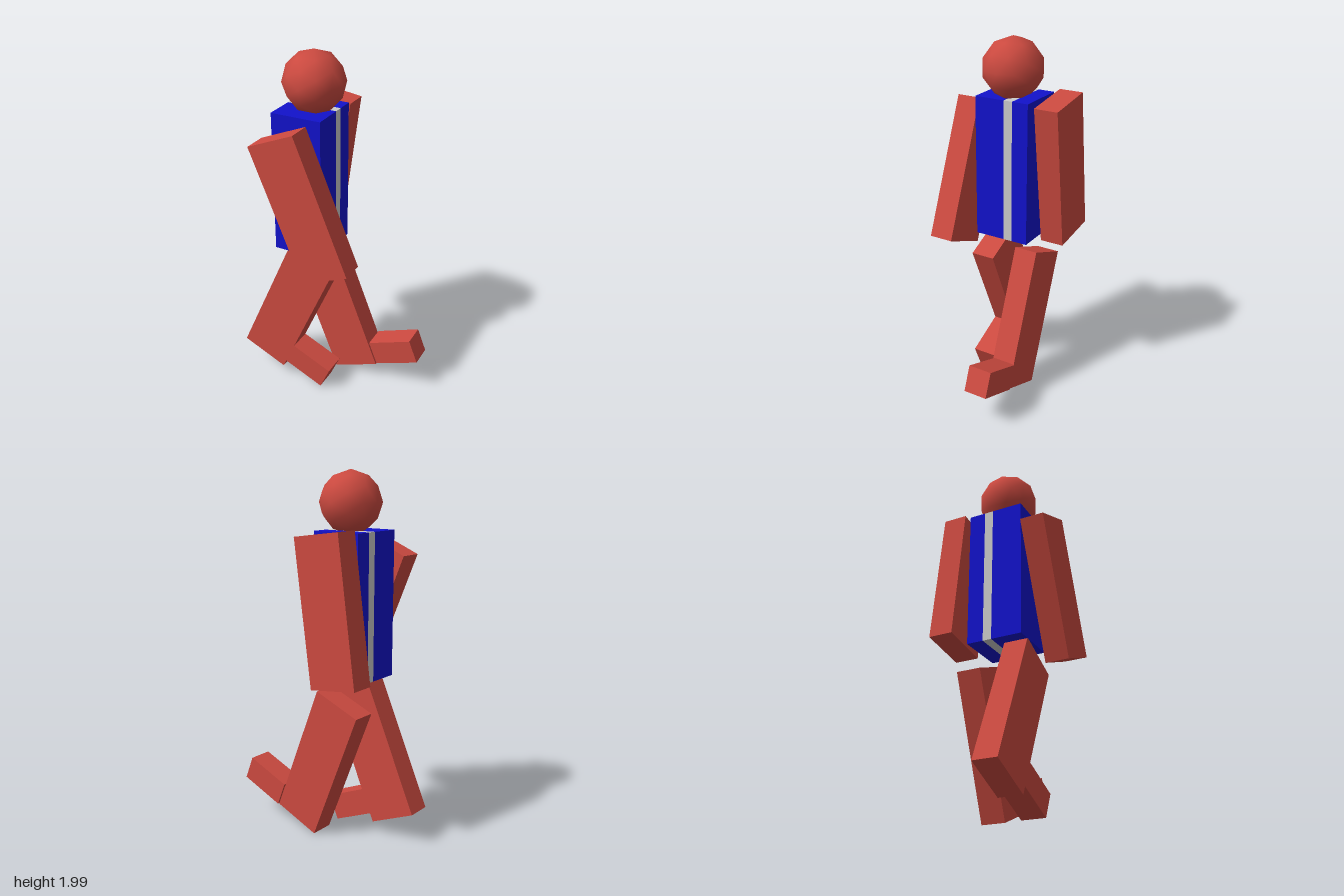
import * as THREE from 'three';

const material = (color) => new THREE.MeshStandardMaterial({ color });

export function createModel() {
  const model = new THREE.Group();
  const skin = material(0xcc4a40);
  const blue = material(0x1212cc);
  const grey = material(0xcccccc);

  // Box centred at (x, y), spanning z0..z1, swung by deg about the z axis
  function block(name, mat, [x, y], [w, h], [z0, z1], deg = 0) {
    const mesh = new THREE.Mesh(new THREE.BoxGeometry(w, h, z1 - z0), mat);
    mesh.name = name;
    mesh.position.set(x, y, (z0 + z1) / 2);
    mesh.rotation.z = THREE.MathUtils.degToRad(deg);
    model.add(mesh);
  }

  // Torso: two jacket halves with a grey band between them
  const torsoAt = [-0.131, 1.295];
  const torsoSize = [0.284, 0.79];
  block('jacketFrontHalf', blue, torsoAt, torsoSize, [-0.01, 0.163]);
  block('shirtBand', grey, torsoAt, torsoSize, [-0.06, -0.01]);
  block('jacketBackHalf', blue, torsoAt, torsoSize, [-0.153, -0.06]);

  // Swinging arms and striding legs share one limb size
  const limb = [0.284, 0.787];
  block('frontArm', skin, [-0.04, 1.243], limb, [0.183, 0.317], 22.5);
  block('backArm', skin, [-0.189, 1.3], limb, [-0.319, -0.185], -7.7);
  block('frontLeg', skin, [-0.225, 0.488], limb, [0.028, 0.163], -23.8);
  block('backLeg', skin, [-0.022, 0.425], limb, [-0.193, -0.059], 21.7);

  // Feet
  const foot = [0.272, 0.143];
  block('frontFoot', skin, [-0.097, 0.132], foot, [0.028, 0.163], -23.8);
  block('backFoot', skin, [0.358, 0.23], foot, [-0.201, -0.067], 21.7);

  // Head: coarse ball with smooth normals
  const head = new THREE.Mesh(new THREE.IcosahedronGeometry(0.167, 1), skin);
  head.name = 'head';
  head.position.set(-0.107, 1.834, 0.003);
  model.add(head);

  return model;
}
